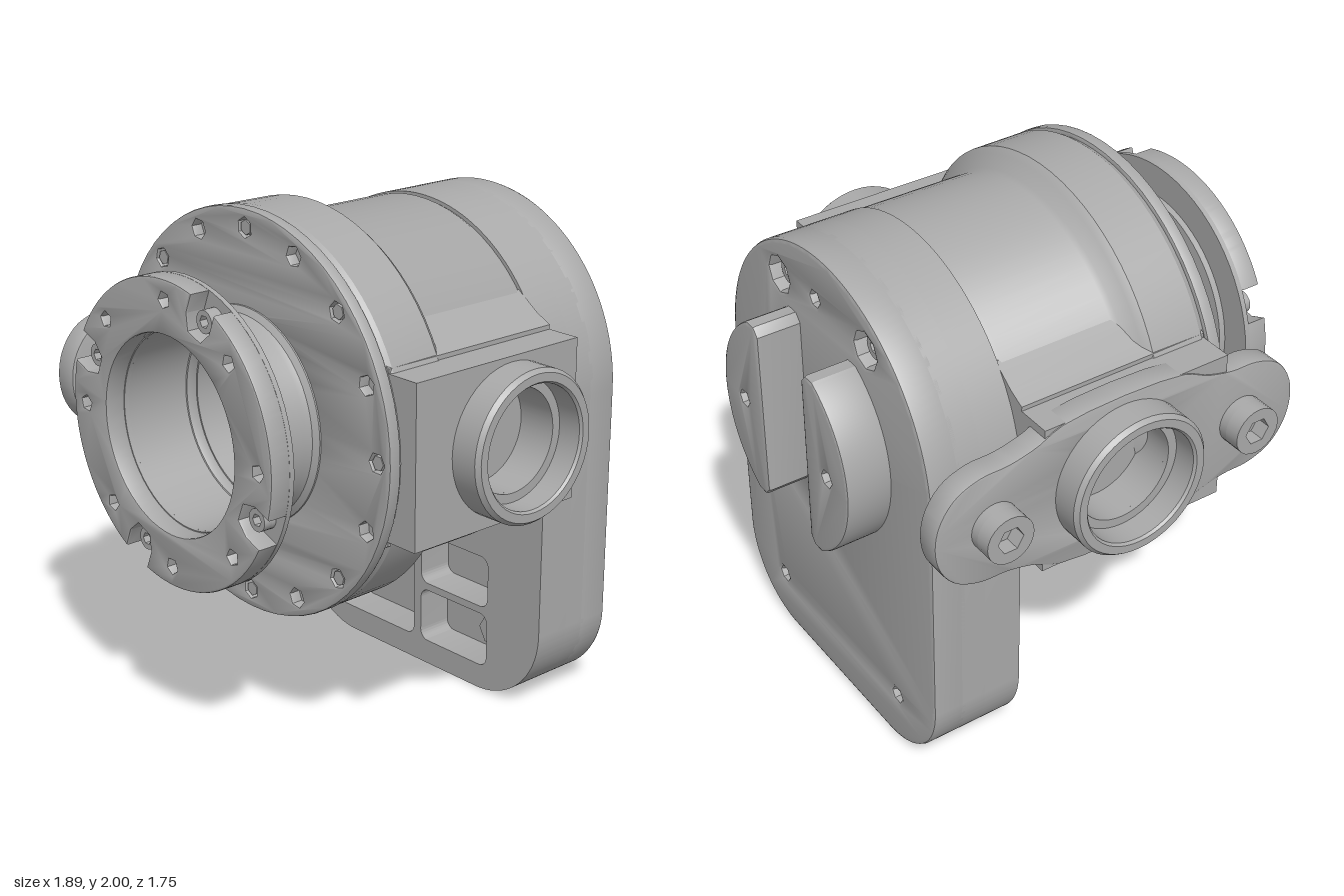
import * as THREE from 'three';
import { toCreasedNormals } from 'three/addons/utils/BufferGeometryUtils.js';

const TAU = Math.PI * 2;
const AXIS_Y = 1.24; // height of the main bore axis

export function createModel() {
  const metal = new THREE.MeshStandardMaterial({ color: 0xa9a9a9 });
  metal.name = 'plain grey metal';
  const model = new THREE.Group();
  model.name = 'gearHousing';
  const core = new THREE.Group();
  core.name = 'housingOnBoreAxis';
  core.position.y = AXIS_Y;
  model.add(core);

  // ---------- helpers ----------
  const add = (parent, name, geometry) => {
    const mesh = new THREE.Mesh(toCreasedNormals(geometry, 0.5), metal);
    mesh.name = name;
    parent.add(mesh);
    return mesh;
  };
  // Extrude a shape between two depths, with an optional chamfer
  const slab = (parent, name, shape, z0, z1, bevel = 0) => {
    const g = new THREE.ExtrudeGeometry(shape, {
      depth: z1 - z0 - 2 * bevel, curveSegments: 32, bevelEnabled: bevel > 0,
      bevelSize: bevel, bevelThickness: bevel, bevelOffset: -bevel, bevelSegments: 2,
    });
    g.translate(0, 0, z0 + bevel);
    return add(parent, name, g);
  };
  // Revolve [radius, z] points around the z axis
  const turned = (parent, name, pts, segments = 72) => add(parent, name,
    new THREE.LatheGeometry(pts.map(p => new THREE.Vector2(...p)), segments).rotateX(Math.PI / 2));
  const poly = pts => new THREE.Shape(pts.map(p => new THREE.Vector2(...p)));
  const ngon = (x, y, r, n = 6, turn = 0) => poly(Array.from({ length: n }, (_, i) =>
    [x + r * Math.cos(turn + i / n * TAU), y + r * Math.sin(turn + i / n * TAU)]));
  const disc = r => new THREE.Shape().absarc(0, 0, r, 0, TAU, false);
  const polar = (r, a) => [r * Math.cos(a), r * Math.sin(a)];
  const roundRect = (x0, y0, x1, y1, r) => {
    const s = new THREE.Shape();
    s.absarc(x1 - r, y0 + r, r, -Math.PI / 2, 0, false);
    s.absarc(x1 - r, y1 - r, r, 0, Math.PI / 2, false);
    s.absarc(x0 + r, y1 - r, r, Math.PI / 2, Math.PI, false);
    s.absarc(x0 + r, y0 + r, r, Math.PI, Math.PI * 1.5, false);
    s.closePath();
    return s;
  };
  // Cap screw with a hex socket, head facing +z
  const screw = (parent, name, x, y, z0, z1, r) => {
    const head = ngon(0, 0, r, 24);
    head.holes.push(ngon(0, 0, r * 0.55));
    const g = new THREE.Group();
    g.name = name;
    g.position.set(x, y, 0);
    const mid = z0 + (z1 - z0) * 0.4;
    slab(g, 'screwBase', ngon(0, 0, r, 24), z0, mid);
    slab(g, 'screwHead', head, mid, z1);
    parent.add(g);
    return g;
  };

  // ---------- main round body ----------
  turned(core, 'bodyBarrel', [
    [0.355, -0.33], [0.67, -0.33], [0.68, -0.31], [0.68, 0.15], [0.69, 0.17], [0.735, 0.205],
    [0.755, 0.23], [0.757, 0.44], [0.747, 0.455], [0.74, 0.47], [0.355, 0.47], [0.355, -0.33],
  ]);

  // Floor deep in the bore, with screw holes and two slots
  const floor = disc(0.37);
  floor.holes.push(ngon(0, 0, 0.2, 12));
  for (let i = 0; i < 8; i++) {
    const a = i * TAU / 8;
    if (i % 4 !== 1) { floor.holes.push(ngon(...polar(0.29, a), 0.04, 6, a)); continue; }
    const c = polar(0.305, a), t = polar(1, a + Math.PI / 2), n = polar(1, a);
    floor.holes.push(poly([[-0.12, 0], [-0.08, -0.042], [0.08, -0.042], [0.12, 0], [0.08, 0.042], [-0.08, 0.042]]
      .map(([u, v]) => [c[0] + t[0] * u + n[0] * v, c[1] + t[1] * u + n[1] * v])));
  }
  slab(core, 'boreFloor', floor, -0.33, -0.3);

  // ---------- large front flange with 16 bolt holes ----------
  const bigFlange = disc(0.76);
  bigFlange.holes.push(disc(0.36));
  for (let i = 0; i < 16; i++) {
    const a = i * TAU / 16, p = polar(0.69, a);
    bigFlange.holes.push(ngon(...p, 0.037, 6, a));
    if (i % 2 === 0) slab(core, 'flangeBolt', ngon(...p, 0.028, 6, a), 0.465, 0.508);
  }
  slab(core, 'largeFlange', bigFlange, 0.465, 0.515, 0.008);

  // ---------- neck and output flange ----------
  turned(core, 'neck', [
    [0.367, 0.5], [0.41, 0.5], [0.405, 0.52], [0.383, 0.535], [0.376, 0.56], [0.376, 0.72],
    [0.39, 0.745], [0.45, 0.75], [0.45, 0.78], [0.367, 0.78], [0.367, 0.5],
  ]);
  const backRing = disc(0.57);
  backRing.holes.push(disc(0.367));
  slab(core, 'outputFlangeBack', backRing, 0.775, 0.795);
  const notched = new THREE.Shape();
  const half = Math.asin(0.065 / 0.57);
  for (let k = 0; k < 4; k++) {
    const a = TAU * (3 / 16 + k / 4);
    notched.absarc(0, 0, 0.57, a - TAU / 4 + half, a - half, false);
    for (const [u, v] of [[0.49, -0.065], [0.435, -0.035], [0.435, 0.035], [0.49, 0.065]]) {
      notched.lineTo(u * Math.cos(a) - v * Math.sin(a), u * Math.sin(a) + v * Math.cos(a));
    }
    screw(core, 'outputFlangeScrew', ...polar(0.49, a), 0.79, 0.845, 0.042);
  }
  notched.closePath();
  notched.holes.push(disc(0.37));
  for (let i = 0; i < 8; i++) notched.holes.push(ngon(...polar(0.495, i * TAU / 8), 0.03, 5, i));
  slab(core, 'outputFlange', notched, 0.79, 0.875, 0.008);

  // ---------- rear gear case: arched top, rounded bottom corners ----------
  const caseOutline = () => {
    const s = new THREE.Shape(), w = 0.685, r = 0.33, b = -AXIS_Y;
    s.absarc(0, 0, w, 0, Math.PI, false);
    s.absarc(-w + r, b + r, r, Math.PI, Math.PI * 1.5, false);
    s.absarc(w - r, b + r, r, Math.PI * 1.5, TAU, false);
    s.closePath();
    return s;
  };
  const caseFront = caseOutline();
  caseFront.holes.push(
    ngon(0, 0, 0.2, 12),
    roundRect(-0.45, 0.1 - AXIS_Y, 0, 0.58 - AXIS_Y, 0.04),
    roundRect(0.04, 0.1 - AXIS_Y, 0.41, 0.32 - AXIS_Y, 0.04),
    roundRect(0.04, 0.35 - AXIS_Y, 0.41, 0.56 - AXIS_Y, 0.04));
  slab(core, 'caseFrontWithPockets', caseFront, -0.48, -0.328);
  slab(core, 'caseMiddle', caseOutline(), -0.58, -0.478);
  const caseRear = caseOutline();
  for (const [x, y] of [[0.29, 0.47], [-0.29, 0.47], [0.43, -0.35]]) {
    caseRear.holes.push(ngon(x, y, 0.07, 8));
    screw(core, 'rearScrew', -x, y, 0.57, 0.66, 0.048).rotation.y = Math.PI;
    core.children.at(-1).position.x = x;
  }
  for (const [x, y] of [[0.42, 0.22 - AXIS_Y], [-0.42, 0.22 - AXIS_Y], [0.04, 0.5]]) {
    caseRear.holes.push(ngon(x, y, 0.03));
  }
  slab(core, 'caseRear', caseRear, -0.7, -0.55, 0.016);
  for (const x of [-0.39, 0.365]) {
    slab(core, 'pocketBoss', ngon(x, 0.22 - AXIS_Y, 0.065), -0.485, -0.4);
  }

  // ---------- D-shaped mounting pads on the rear ----------
  for (const turn of [0, Math.PI]) {
    const pad = new THREE.Shape();
    pad.moveTo(0.15, 0.34);
    pad.lineTo(0.15, -0.34);
    pad.lineTo(0.178, -0.372);
    const a = Math.asin(0.372 / 0.435);
    pad.absarc(0, 0, 0.435, -a, a, false);
    pad.lineTo(0.178, 0.372);
    pad.closePath();
    for (const k of [-1, 0, 1]) pad.holes.push(ngon(...polar(0.29, k * TAU / 8), 0.032));
    slab(core, 'rearPad', pad, -0.875, -0.69, 0.012).rotation.z = turn;
  }

  // ---------- side blocks and ports ----------
  for (const s of [1, -1]) {
    // Web that blends the block into the barrel
    const web = [[0.685, 0.322], [0.62, 0.355], [0.53, 0.42], [0.4, 0.42]];
    slab(core, 'sideBlockWeb', poly([...web, ...web.slice().reverse().map(([x, y]) => [x, -y])]
      .map(([x, y]) => [s * x, y])), -0.33, 0.455);

    const side = new THREE.Group(); // local +z points outward
    side.name = s > 0 ? 'leftPort' : 'rightPort';
    side.rotation.y = s * Math.PI / 2;
    core.add(side);
    const [x0, x1] = s > 0 ? [-0.455, 0.33] : [-0.33, 0.455];
    const face = poly([[x0, -0.305], [x1, -0.305], [x1, 0.305], [x0, 0.305]]);
    face.holes.push(disc(0.195));
    slab(side, 'sideBlock', face, 0.68, 0.82);
    turned(side, 'portCollar', [
      [0.195, 0.7], [0.284, 0.7], [0.284, 0.928], [0.27, 0.945], [0.238, 0.945],
      [0.23, 0.935], [0.23, 0.84], [0.195, 0.84], [0.195, 0.7],
    ], 48);

    // Two-bolt oval flange on the right side only
    if (s < 0) {
      const q = [[0.775, 0], [0.755, 0.1], [0.69, 0.185], [0.59, 0.225], [0.48, 0.23], [0.37, 0.255], [0.25, 0.305]];
      const upper = [...q, ...q.slice().reverse().map(([x, y]) => [-x, y])];
      const lower = upper.slice(1, -1).reverse().map(([x, y]) => [x, -y]);
      const ring = [...upper, ...lower].filter((p, i, all) =>
        i === 0 || p[0] !== all[i - 1][0] || p[1] !== all[i - 1][1]);
      const curve = new THREE.CatmullRomCurve3(ring.map(([x, y]) => new THREE.Vector3(x, y, 0)), true);
      const oval = poly(curve.getPoints(96).slice(0, -1).map(p => [p.x, p.y]));
      oval.holes.push(disc(0.23));
      slab(side, 'ovalFlange', oval, 0.73, 0.825, 0.006);
      for (const x of [-0.535, 0.535]) screw(side, 'ovalFlangeBolt', x, 0, 0.82, 0.92, 0.095);
    }
  }
  return model;
}
